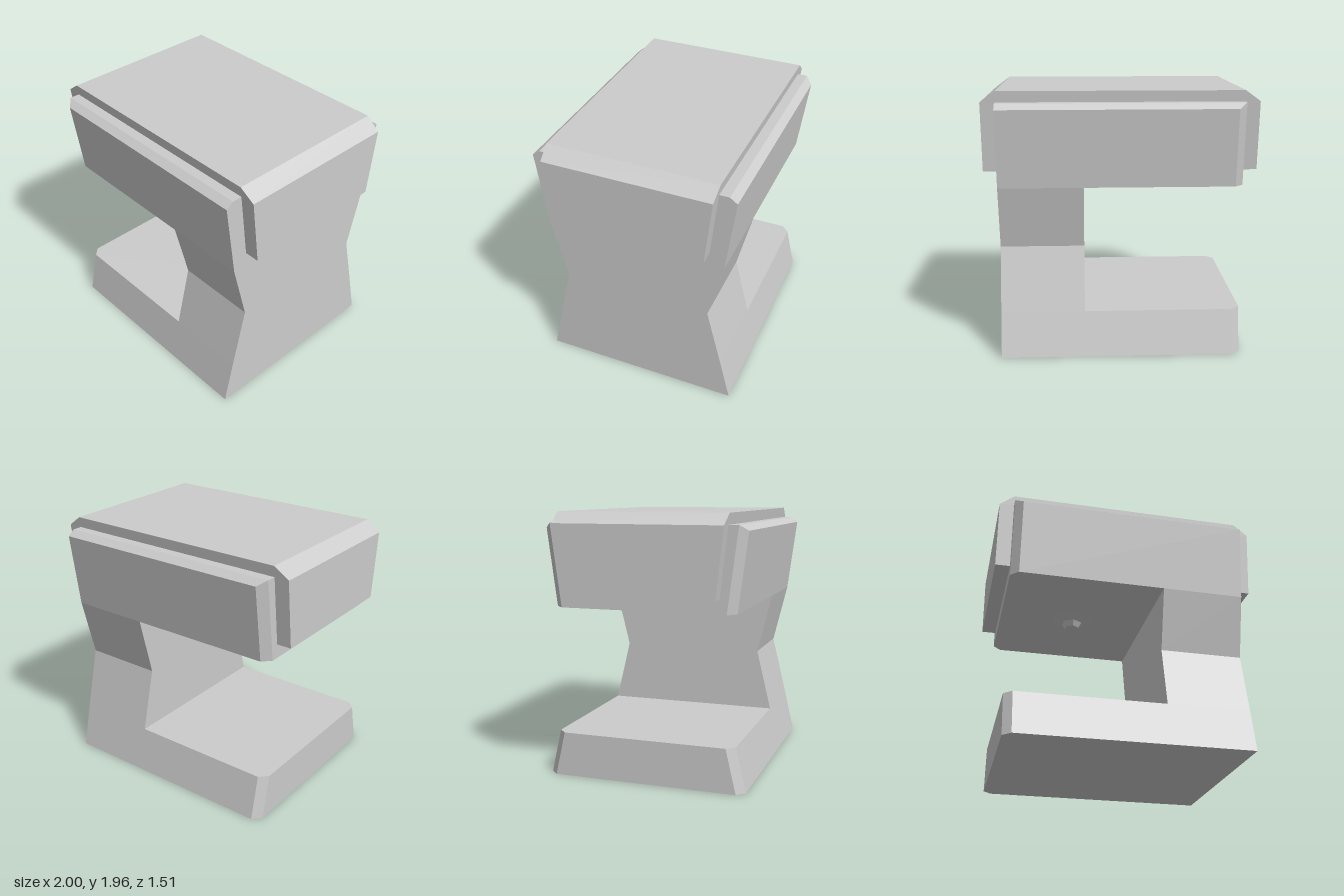
import * as THREE from 'three';

// Horizontal section, listed anticlockwise from above; cut = [x, z] chamfer on the two -x corners
function section([y, x0, x1, hz, cut = [0, 0]]) {
  const [cx, cz] = cut;
  return [
    [x0 + cx, hz], [x1, hz], [x1, -hz],
    [x0 + cx, -hz], [x0, -hz + cz], [x0, hz - cz],
  ].map(([x, z]) => new THREE.Vector3(x, y, z));
}

// Faceted solid through a stack of sections, bottom to top
function loft(levels, capped = true) {
  const rings = levels.map(section);
  const points = [];
  const tri = (a, b, c) => {
    if (new THREE.Triangle(a, b, c).getArea() > 1e-7) points.push(a, b, c);
  };
  for (let k = 0; k + 1 < rings.length; k++) {
    const lo = rings[k], hi = rings[k + 1];
    for (let i = 0; i < 6; i++) {
      const j = (i + 1) % 6;
      tri(lo[i], lo[j], hi[j]);
      tri(lo[i], hi[j], hi[i]);
    }
  }
  if (capped) {
    const lo = rings[0], hi = rings[rings.length - 1];
    for (let i = 1; i < 5; i++) {
      tri(hi[0], hi[i], hi[i + 1]);
      tri(lo[0], lo[i + 1], lo[i]);
    }
  }
  const geometry = new THREE.BufferGeometry().setFromPoints(points);
  geometry.computeVertexNormals();
  return geometry;
}

export function createModel() {
  const group = new THREE.Group();
  const grey = new THREE.MeshStandardMaterial({ color: 0xcccccc, flatShading: true });
  grey.name = 'light grey';

  const add = (name, geometry, x = 0, y = 0, z = 0) => {
    const mesh = new THREE.Mesh(geometry, grey);
    mesh.name = name;
    mesh.position.set(x, y, z);
    group.add(mesh);
  };

  const W = 0.89;
  const cut = [0.06, 0.06];

  // Base tray, narrowing upward
  add('base', loft([
    [0, -W, W, 0.757, cut],
    [0.33, -W, W, 0.68, cut],
  ]));

  // Waisted column at the +x end
  add('column', loft([
    [0.33, 0.27, W, 0.68],
    [0.805, 0.27, W, 0.565],
    [1.27, 0.27, W, 0.68],
  ], false));

  // Overhanging head with a bevelled upper rim
  add('head', loft([
    [1.27, -W, W, 0.68, cut],
    [1.84, -W, W, 0.755, cut],
    [1.88, -W, W, 0.7],
  ]));

  // Cover wrapping over the top and down both ends
  add('cover', loft([
    [1.375, -1, 1, 0.57],
    [1.88, -1, 1, 0.626],
    [1.96, -W, W, 0.635],
  ]));

  // Six-sided spout under the head
  add('spoutCollar', new THREE.CylinderGeometry(0.167, 0.082, 0.028, 6), -0.315, 1.256, 0);
  add('spoutTip', new THREE.CylinderGeometry(0.082, 0.058, 0.042, 6), -0.315, 1.221, 0);

  return group;
}
